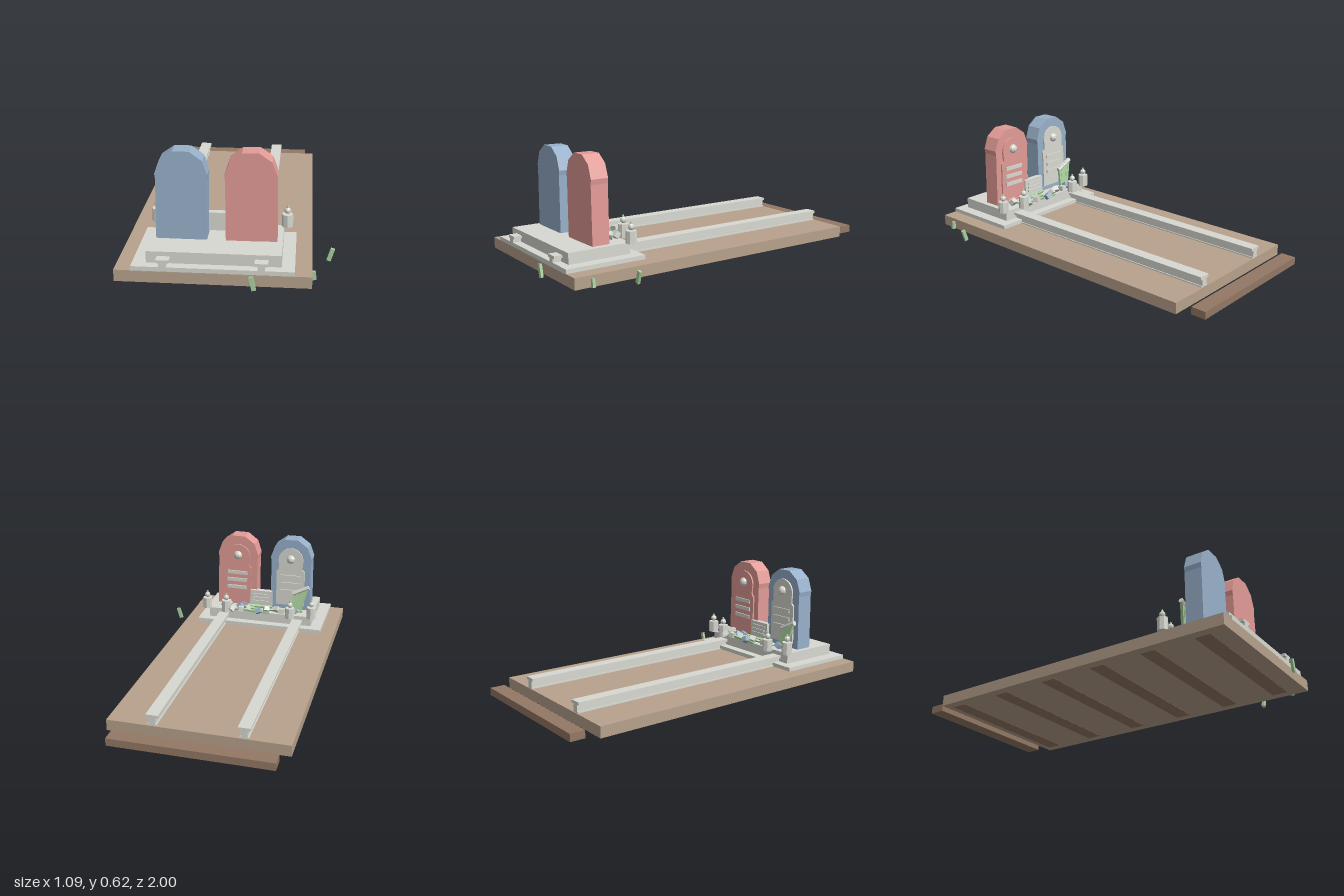
import * as THREE from 'three';

const mat = (name, color) => {
  const m = new THREE.MeshStandardMaterial({ color, flatShading: true });
  m.name = name;
  return m;
};

export function createModel() {
  const root = new THREE.Group();
  root.name = 'doubleGrave';
  const earth = mat('earth', 0xb7a28c), wood = mat('dark wood', 0x947864);
  const stone = mat('pale stone', 0xd8d9d1), blue = mat('blue granite', 0x98b0ca);
  const red = mat('red granite', 0xe39c97), green = mat('leaf green', 0xaad09e);

  const add = (name, geo, material, x = 0, y = 0, z = 0, parent = root) => {
    const m = new THREE.Mesh(geo, material);
    m.name = name;
    m.position.set(x, y, z);
    parent.add(m);
    return m;
  };
  // Box given by its limits on each axis
  const box = (name, material, x0, x1, y0, y1, z0, z1, parent = root) =>
    add(name, new THREE.BoxGeometry(x1 - x0, y1 - y0, z1 - z0), material,
      (x0 + x1) / 2, (y0 + y1) / 2, (z0 + z1) / 2, parent);
  // Square stick between two points
  const stick = (name, material, a, b, w) => {
    const p = new THREE.Vector3(...a), q = new THREE.Vector3(...b);
    const m = add(name, new THREE.BoxGeometry(w, p.distanceTo(q), w), material);
    m.position.copy(p).lerp(q, 0.5);
    m.quaternion.setFromUnitVectors(new THREE.Vector3(0, 1, 0), q.sub(p).normalize());
    return m;
  };
  const plate = (points, depth) => new THREE.ExtrudeGeometry(
    new THREE.Shape(points.map(p => new THREE.Vector2(...p))), { depth, bevelEnabled: false });

  // Ground slab with sleepers showing on the underside
  box('earthSlab', earth, -0.545, 0.43, 0.001, 0.063, -0.86, 0.952);
  for (const z of [-0.78, -0.46, -0.13, 0.19, 0.5, 0.81])
    box('sleeper', wood, -0.495, 0.378, 0, 0.04, z - 0.043, z + 0.043);
  box('rearPlank', wood, -0.495, 0.378, 0, 0.042, -1, -0.915);

  // Two flanged rails
  for (const x of [-0.302, 0.182]) {
    box('railFoot', stone, x - 0.024, x + 0.024, 0.063, 0.07, -0.855, 0.952);
    box('railWeb', stone, x - 0.018, x + 0.018, 0.07, 0.108, -0.855, 0.952);
    box('railTop', stone, x - 0.033, x + 0.033, 0.107, 0.123, -0.855, 0.952);
  }

  // Stepped plinth
  box('lowerStep', stone, -0.46, 0.345, 0.06, 0.086, 0.49, 0.952);
  box('upperStep', stone, -0.39, 0.28, 0.086, 0.147, 0.54, 0.905);

  // Headstones: angular arch, carved panel on the rear face
  const half = [[0.13, 0], [0.128, 0.32], [0.132, 0.348], [0.106, 0.422], [0.043, 0.468]];
  const mirrored = h => [...h, ...h.map(([x, y]) => [-x, y]).reverse()];
  const panelHalf = [[0.092, 0.03], [0.092, 0.26], [0.076, 0.275], [0.076, 0.29]];
  for (let i = 0; i <= 5; i++) {
    const a = i / 5 * Math.PI / 2 * 0.92;
    panelHalf.push([0.08 * Math.cos(a), 0.335 + 0.08 * Math.sin(a)]);
  }
  const headstone = (name, x, lean, body, panel) => {
    const g = new THREE.Group();
    g.name = name;
    g.position.set(x, 0.147, 0.65);
    g.rotation.z = lean;
    root.add(g);
    add('headstoneBody', plate(mirrored(half), 0.1), body, 0, 0, 0, g);
    add('carvedPanel', plate(mirrored(panelHalf), 0.012), panel, 0, 0, -0.01, g);
    add('medallion', new THREE.SphereGeometry(0.028, 10, 8), stone, 0, 0.343, -0.008, g);
    for (const y of [0.225, 0.175, 0.125])
      box('inscriptionBar', stone, -0.065, 0.065, y - 0.011, y + 0.011, -0.018, 0, g);
  };
  headstone('blueHeadstone', -0.234, -0.008, blue, stone);
  headstone('redHeadstone', 0.121, 0.012, red, red);

  // Plaque between the headstones
  box('plaque', stone, -0.115, 0.03, 0.162, 0.26, 0.63, 0.665);
  for (const y of [0.187, 0.211, 0.235])
    box('plaqueLine', stone, -0.095, 0.01, y - 0.006, y + 0.006, 0.623, 0.631);

  // Four lanterns with round finials
  for (const [x, z, h] of [[-0.393, 0.53, 0.074], [-0.26, 0.5, 0.068], [0.16, 0.51, 0.074], [0.296, 0.545, 0.068]]) {
    const g = new THREE.Group();
    g.name = 'lantern';
    g.position.set(x, 0.147, z);
    root.add(g);
    add('lanternBody', new THREE.CylinderGeometry(0.03, 0.03, h, 8), stone, 0, h / 2, 0, g);
    add('lanternGlobe', new THREE.SphereGeometry(0.018, 8, 6), stone, 0, h + 0.02, 0, g);
    add('lanternTip', new THREE.CylinderGeometry(0.005, 0.008, 0.014, 6), green, 0, h + 0.041, 0, g);
  }

  // Scattered flowers on the plinth: head x, z and stem end x, z
  const flowers = [
    [-0.275, 0.575, -0.32, 0.61], [-0.165, 0.56, -0.22, 0.61], [-0.1, 0.53, -0.17, 0.58],
    [-0.05, 0.515, -0.12, 0.52], [0.03, 0.54, -0.06, 0.57], [0.06, 0.5, -0.03, 0.53],
    [0.06, 0.595, -0.02, 0.63], [0.125, 0.505, 0.05, 0.54], [0.19, 0.575, 0.15, 0.63],
    [0.08, 0.565, 0, 0.6], [0.17, 0.6, 0.13, 0.55], [-0.2, 0.53, -0.24, 0.6],
  ];
  flowers.forEach(([x, z, sx, sz], i) => {
    const y = 0.166 + (i % 3) * 0.005;
    stick('flowerStem', green, [sx, 0.155, sz], [x, y, z], 0.012);
    const head = add('flowerHead', new THREE.BoxGeometry(0.034, 0.03, 0.034),
      i % 3 === 0 ? blue : stone, x, y, z);
    head.rotation.set(0.5, i, 0.4);
  });

  // Loose stems lying below the plaque
  for (const x of [-0.09, -0.055, -0.02])
    stick('looseStem', green, [x - 0.03, 0.154, 0.63], [x + 0.03, 0.156, 0.61], 0.012);

  // Bouquet leaning on the blue headstone
  for (let i = 0; i < 5; i++) {
    const x = -0.347 + i * 0.02, y = 0.31 - i * 0.01;
    stick('bouquetStem', green, [-0.305 + i * 0.012, 0.15, 0.6], [x, y, 0.622], 0.016);
    const head = add('bouquetHead', new THREE.CylinderGeometry(0.015, 0.015, 0.024, 6), stone, x, y, 0.622);
    head.rotation.z = 1.2;
  }

  // Loose grass blades around the slab
  for (const [x, z, y, h, tilt] of [[0.142, 0.9925, 0.038, 0.072, 0.22], [0.438, 0.855, 0.024, 0.046, 0.15], [0.524, 0.645, 0.038, 0.07, -0.3]]) {
    const blade = add('grassBlade', new THREE.BoxGeometry(0.022, h, 0.015), green, x, y, z);
    blade.rotation.z = tilt;
  }
  return root;
}
